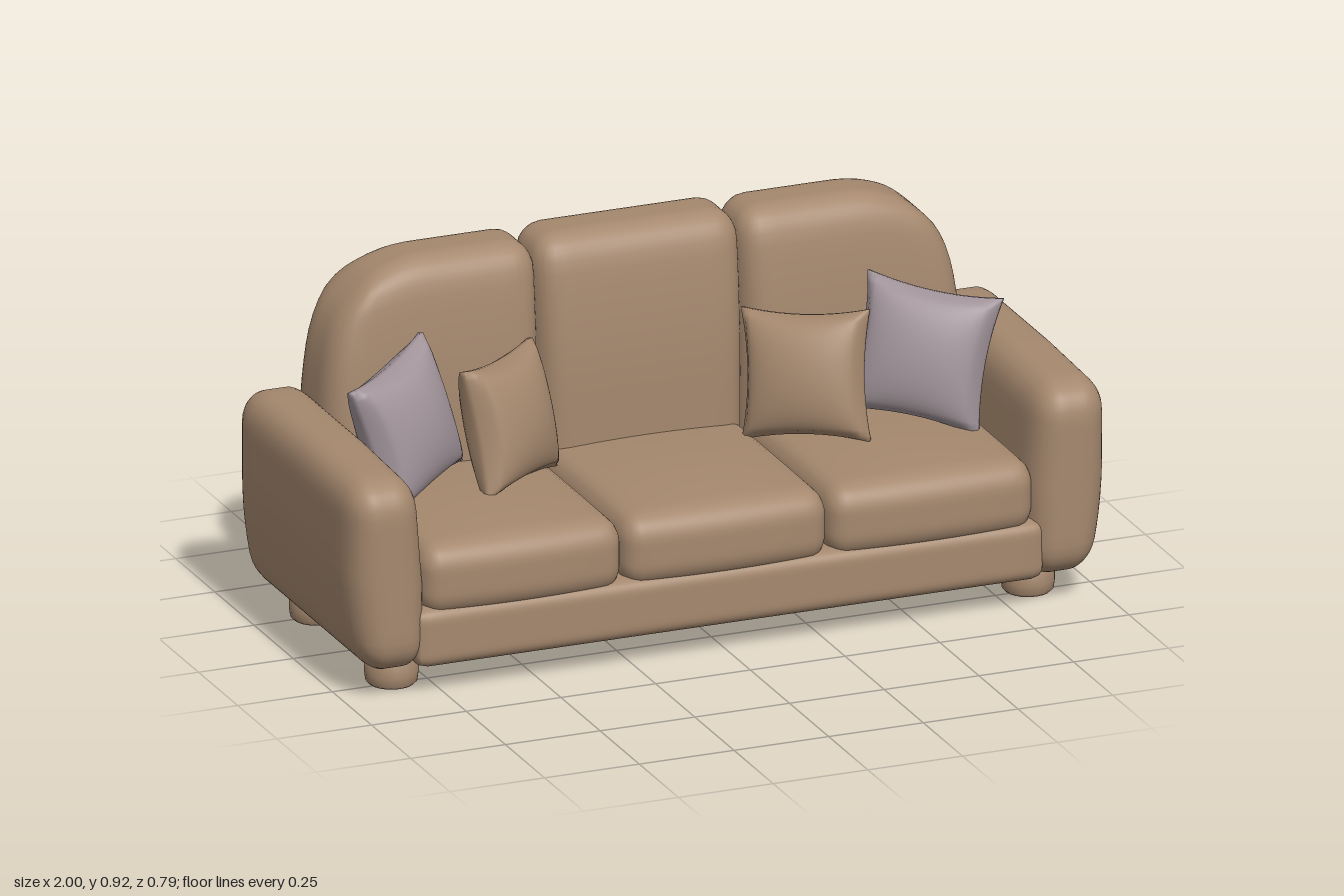
import * as THREE from 'three';
import { mergeVertices } from 'three/addons/utils/BufferGeometryUtils.js';

const tan = new THREE.MeshStandardMaterial({ color: 0xa5886e });
tan.name = 'tan leather';
const grey = new THREE.MeshStandardMaterial({ color: 0xa1949a });
grey.name = 'grey fabric';

// Weld a geometry, move its vertices by a rule and smooth it
function shape(geometry, rule) {
  geometry.deleteAttribute('uv');
  geometry.deleteAttribute('normal');
  const g = mergeVertices(geometry, 1e-5);
  const p = g.attributes.position, v = new THREE.Vector3();
  for (let i = 0; i < p.count; i++) {
    rule(v.fromBufferAttribute(p, i));
    p.setXYZ(i, v.x, v.y, v.z);
  }
  g.computeVertexNormals();
  return g;
}

// Upholstered block spanning min..max, with its own edge radius per axis
function softBox(min, max, radius, deform = () => {}) {
  const axes = ['x', 'y', 'z'], n = 22;
  return shape(new THREE.BoxGeometry(2, 2, 2, n, n, n), (v) => {
    const core = {}, q = new THREE.Vector3(), unit = new THREE.Vector3();
    axes.forEach((a, i) => {
      const half = (max[i] - min[i]) / 2, inner = half - radius[i];
      const t = Math.sin(v[a] * Math.PI / 2);
      unit[a] = t;
      core[a] = THREE.MathUtils.clamp(t * half, -inner, inner);
      q[a] = (t * half - core[a]) / radius[i];
    });
    q.normalize();
    axes.forEach((a, i) => { v[a] = (min[i] + max[i]) / 2 + core[a] + q[a] * radius[i]; });
    deform(v, unit);
  });
}

// Stuffed square pillow: thin seams, full middle, pointed corners
function pillowGeometry(size, depth) {
  const n = 24;
  return shape(new THREE.BoxGeometry(2, 2, 2, n, n, 2), (v) => {
    const { x, y, z } = v;
    const full = Math.pow(Math.max(0, (1 - x * x) * (1 - y * y)), 0.42);
    v.x = x * size / 2 * (1 - 0.1 * (1 - y * y));
    v.y = y * size / 2 * (1 - 0.1 * (1 - x * x));
    v.z = z * (0.008 + full * depth / 2);
  });
}

export function createModel() {
  const sofa = new THREE.Group();
  sofa.name = 'sofa';
  const add = (name, geometry, material = tan) => {
    const mesh = new THREE.Mesh(geometry, material);
    mesh.name = name;
    sofa.add(mesh);
    return mesh;
  };

  // Frame under the cushions
  add('base', softBox([-0.83, 0.075, -0.385], [0.83, 0.23, 0.385], [0.03, 0.035, 0.035]));

  // Three seat cushions with domed tops
  [[-0.81, -0.277], [-0.28, 0.265], [0.262, 0.81]].forEach(([a, b], i) => {
    add('seatCushion' + (i + 1), softBox([a, 0.2, -0.25], [b, 0.385, 0.38], [0.05, 0.065, 0.06], (v, u) => {
      const dome = (1 - u.x * u.x) * (1 - u.z * u.z);
      if (u.y > 0) v.y += 0.018 * dome * u.y;
      if (u.z > 0) v.z += 0.012 * (1 - u.x * u.x) * u.z;
    }));
  });

  // Middle back cushion: the front leans back toward the top
  const lean = (v) => {
    const t = THREE.MathUtils.clamp((v.y - 0.5) / 0.42, 0, 1);
    const s = (v.z + 0.395) / 0.255;
    v.z += -0.045 * t * t * s + 0.018 * t * t * (1 - s);
  };
  add('backCushionMiddle', softBox([-0.278, 0.17, -0.395], [0.265, 0.92, -0.14], [0.07, 0.075, 0.085], lean));

  for (const side of [-1, 1]) {
    const word = side > 0 ? 'Left' : 'Right';

    // Outer back cushion with a sweeping outer shoulder
    const x0 = side > 0 ? 0.26 : -0.845, x1 = side > 0 ? 0.845 : -0.272;
    add('backCushion' + word, softBox([x0, 0.17, -0.395], [x1, 0.915, -0.14], [0.07, 0.075, 0.085], (v) => {
      lean(v);
      const w = x1 - x0, s = side > 0 ? (v.x - x0) / w : (x1 - v.x) / w;
      const t = THREE.MathUtils.clamp((v.y - 0.55) / 0.365, 0, 1);
      v.x -= side * s * s * (0.03 * t + 0.07 * t ** 4);
      const k = THREE.MathUtils.clamp((s - 0.55) / 0.45, 0, 1);
      v.y -= 0.065 * k * k * t;
    }));

    // Arm: tapers in at the foot outside and at the top inside
    const a0 = side > 0 ? 0.795 : -1, a1 = side > 0 ? 1 : -0.795;
    add('arm' + word, softBox([a0, 0.072, -0.395], [a1, 0.582, 0.395], [0.075, 0.085, 0.09], (v) => {
      const out = (Math.abs(v.x) - 0.795) / 0.205;
      const low = THREE.MathUtils.clamp((0.36 - v.y) / 0.29, 0, 1);
      const high = THREE.MathUtils.clamp((v.y - 0.3) / 0.28, 0, 1);
      v.x += side * (-0.04 * low * low * out + 0.022 * high * (1 - out));
      if (v.y > 0.3) v.y -= 0.012 * THREE.MathUtils.clamp((v.z - 0.05) / 0.34, 0, 1);
    }));

    // Short round feet
    for (const z of [-0.24, 0.24]) {
      const profile = [[0, 0], [0.056, 0], [0.064, 0.008], [0.067, 0.03], [0.067, 0.1], [0, 0.1]];
      const foot = add((z > 0 ? 'front' : 'back') + 'Foot' + word,
        new THREE.LatheGeometry(profile.map(([r, y]) => new THREE.Vector2(r, y)), 20));
      foot.position.set(side * 0.84, 0.002, z);
    }
  }

  // Scatter pillows, turned inward and leaning back
  const pillows = [
    ['greyPillowRight', -0.702, 0.562, -0.005, 0.62, 0.14, grey, 0.345],
    ['tanPillowRight', -0.425, 0.538, -0.015, 0.66, -0.05, tan, 0.325],
    ['tanPillowLeft', 0.36, 0.543, -0.015, -0.68, 0.08, tan, 0.325],
    ['greyPillowLeft', 0.662, 0.562, 0.005, -0.64, -0.12, grey, 0.345],
  ];
  for (const [name, x, y, z, turn, roll, material, size] of pillows) {
    const pillow = add(name, pillowGeometry(size, 0.15), material);
    pillow.position.set(x, y, z);
    pillow.rotation.set(-0.25, turn, roll, 'YXZ');
  }
  return sofa;
}
